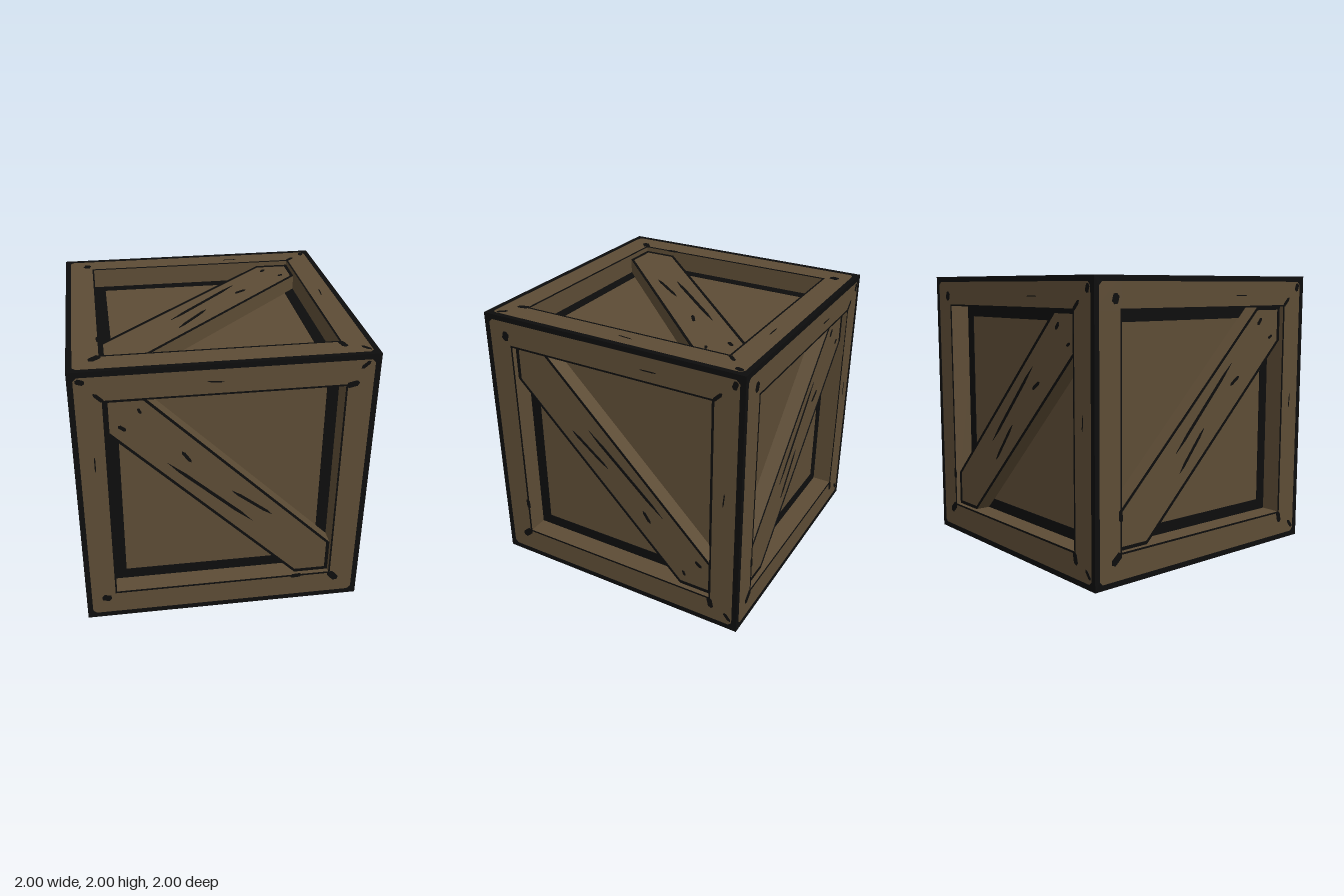
import * as THREE from 'three';

const PLATE = 0.004;     // thickness of painted details
const OPEN = 0.78;       // half size of the recessed opening
const PANEL = 0.85;      // distance of the recessed panels from the centre
const BRACE = 0.96;      // distance of the brace fronts from the centre

const points = (list) => list.map(([x, y]) => new THREE.Vector2(x, y));
const square = (h) => points([[-h, -h], [h, -h], [h, h], [-h, h]]);

// Diagonal board running top left to bottom right, clipped by the opening
const board = (h, k) => points([
  [-h, h], [-h, h - k], [h - k, -h], [h, -h], [h, k - h], [k - h, h],
]);

// Square frame with small chamfers on its inner corners
const softSquare = (h, c) => points([
  [-h + c, -h], [h - c, -h], [h, -h + c], [h, h - c],
  [h - c, h], [-h + c, h], [-h, h - c], [-h, -h + c],
]);

function ring(outer, inner) {
  const shape = new THREE.Shape(outer);
  shape.holes.push(new THREE.Path(inner));
  return shape;
}

// Tapered ink stroke from (x1, y1) to (x2, y2)
function stroke([x1, y1, x2, y2, w]) {
  const a = new THREE.Vector2(x1, y1), b = new THREE.Vector2(x2, y2);
  const side = b.clone().sub(a).normalize();
  side.set(-side.y, side.x).multiplyScalar(w / 2);
  const at = (t, s) => a.clone().lerp(b, t).addScaledVector(side, s);
  return new THREE.Shape([a, at(0.15, -1), at(0.8, -1), b, at(0.85, 1), at(0.2, 1)]);
}

const GRAIN = [
  [-0.39, 0.27, 0.2, -0.27, 0.022], [0.05, 0, 0.34, -0.23, 0.02],
  [-0.29, 0.35, -0.23, 0.26, 0.022], [-0.7, 0.58, -0.65, 0.54, 0.024],
  [-0.57, 0.7, -0.55, 0.66, 0.018],
];

const CORNER_MARKS = [
  [-0.845, 0.845, -0.78, 0.78, 0.025], [0.78, 0.78, 0.87, 0.8, 0.04],
  [0.78, -0.78, 0.85, -0.86, 0.05], [0.87, 0.9, 0.93, 0.95, 0.025],
  [-0.89, -0.82, -0.82, -0.84, 0.05], [-0.95, 0.94, -0.89, 0.92, 0.035],
  [0.49, -0.79, 0.58, -0.785, 0.03], [-0.13, 0.88, -0.02, 0.87, 0.008],
  [-0.865, 0.38, -0.865, 0.26, 0.008],
];

// Direction of each side, with the quarter turns of its brace and of its marks
const SIDES = [
  { name: 'front', rot: [0, 0], brace: 0, marks: 0 },
  { name: 'left', rot: [0, Math.PI / 2], brace: 2, marks: -1 },
  { name: 'back', rot: [0, Math.PI], brace: -1, marks: -1 },
  { name: 'right', rot: [0, -Math.PI / 2], brace: -1, marks: -1 },
  { name: 'top', rot: [-Math.PI / 2, 0], brace: -1, marks: -1 },
  { name: 'bottom', rot: [Math.PI / 2, 0], brace: -1, marks: -1 },
];

export function createModel() {
  const wood = new THREE.MeshStandardMaterial({ color: 0x5d4c35 });
  wood.name = 'brown wood';
  const ink = new THREE.MeshStandardMaterial({ color: 0x0d0d0d });
  ink.name = 'black outline';

  const crate = new THREE.Group();
  crate.name = 'crate';
  const body = new THREE.Group();
  body.position.y = 1;
  crate.add(body);

  const add = (parent, name, geometry, material) => {
    const mesh = new THREE.Mesh(geometry, material);
    mesh.name = name;
    parent.add(mesh);
    return mesh;
  };
  const slab = (shape, from, to) => new THREE.ExtrudeGeometry(shape, {
    depth: to - from, bevelEnabled: false,
  }).translate(0, 0, from);

  // Core whose faces are the recessed panels
  add(body, 'panels', new THREE.BoxGeometry(PANEL * 2, PANEL * 2, PANEL * 2), wood);

  // Twelve edge beams: the x beams run full length, the others fit between
  const outer = 1 - PLATE / 2;
  const width = outer - OPEN, mid = (outer + OPEN) / 2;
  for (const s of [-1, 1]) {
    for (const t of [-1, 1]) {
      add(body, 'beamX', new THREE.BoxGeometry(outer * 2, width, width), wood)
        .position.set(0, s * mid, t * mid);
      add(body, 'beamY', new THREE.BoxGeometry(width, OPEN * 2, width), wood)
        .position.set(s * mid, 0, t * mid);
      add(body, 'beamZ', new THREE.BoxGeometry(width, width, OPEN * 2), wood)
        .position.set(s * mid, t * mid, 0);
    }
  }

  for (const { name, rot, brace, marks } of SIDES) {
    const side = new THREE.Group();
    side.name = name + 'Side';
    side.rotation.set(rot[0], rot[1], 0);
    body.add(side);

    // Outlines of the frame and of the recessed panel
    add(side, 'outerEdge', slab(ring(square(1), softSquare(0.962, 0.025)), 1 - PLATE, 1), ink);
    add(side, 'openingEdge', slab(ring(square(0.792), square(OPEN)), 1 - PLATE, 1), ink);
    add(side, 'panelBorder',
      slab(ring(square(OPEN), square(0.7)), PANEL, PANEL + PLATE), ink);

    // Ink marks on the frame
    add(side, 'frameMarks', slab(CORNER_MARKS.map(stroke), 1 - PLATE, 1), ink)
      .rotation.z = marks * Math.PI / 2;

    // Diagonal brace with its outline and wood grain
    const diagonal = new THREE.Group();
    diagonal.name = 'diagonalBrace';
    diagonal.rotation.z = brace * Math.PI / 2;
    side.add(diagonal);
    add(diagonal, 'braceBoard', slab(new THREE.Shape(board(OPEN, 0.25)), PANEL, BRACE), wood);
    add(diagonal, 'braceOutline',
      slab(ring(board(OPEN, 0.25), board(0.757, 0.225)), BRACE, BRACE + PLATE), ink);
    add(diagonal, 'braceGrain', slab(GRAIN.map(stroke), BRACE, BRACE + PLATE), ink);
  }
  return crate;
}
